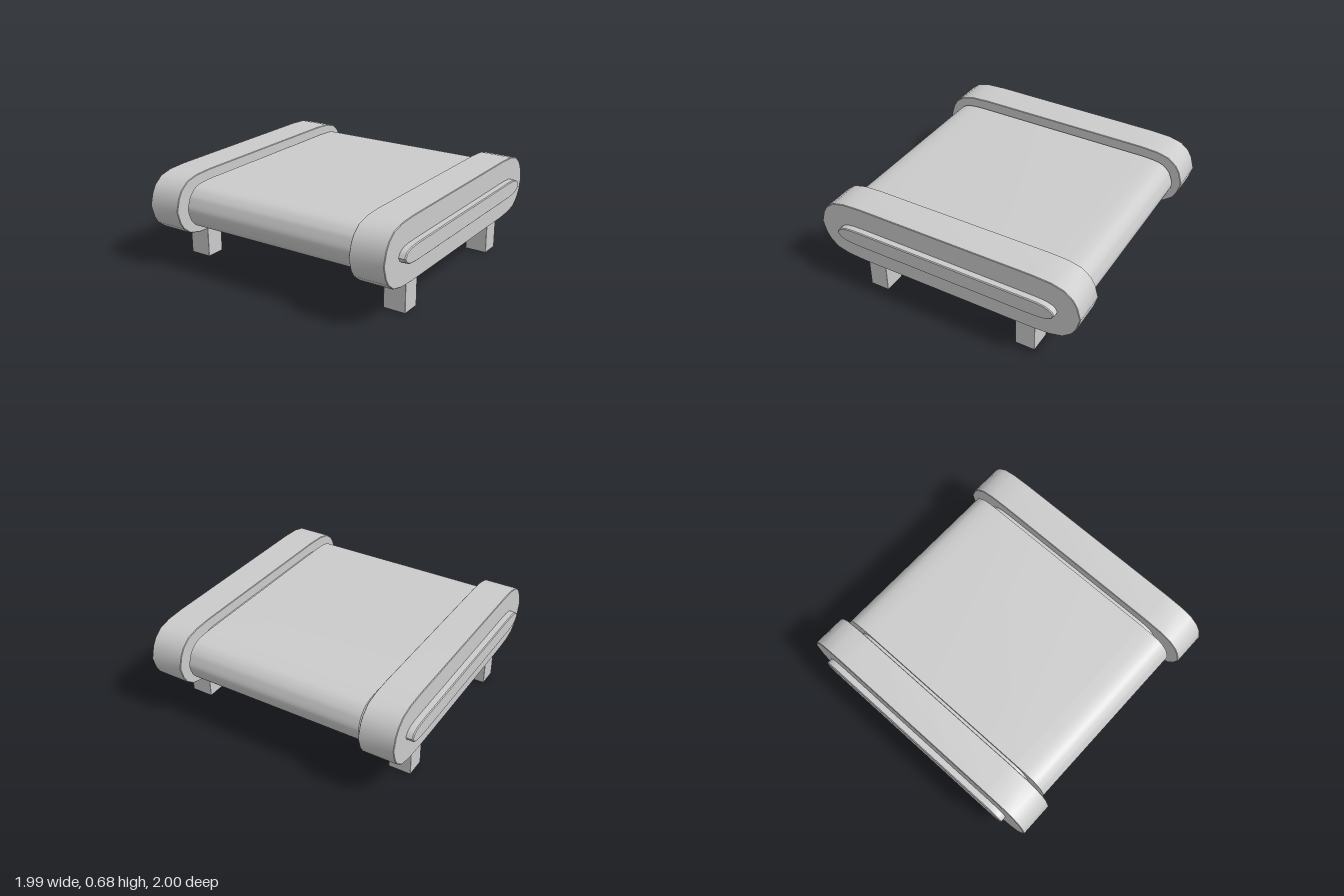
import * as THREE from 'three';
import { toCreasedNormals } from 'three/addons/utils/BufferGeometryUtils.js';
import { RoundedBoxGeometry } from 'three/addons/geometries/RoundedBoxGeometry.js';

const MID_Y = 0.46;
const grey = new THREE.MeshStandardMaterial({ color: 0xcccccc });

// Quarter of the rounded end: [inset from the tip, fraction of half height]
const END = [[0, 0], [0.025, 0.41], [0.055, 0.64], [0.115, 0.86], [0.205, 0.965], [0.34, 1]];

// Long outline with softly rounded ends
function capsule(halfLength, halfHeight, roundLength, smooth) {
  const k = roundLength / 0.34;
  let quarter = END.map(([inset, f]) => new THREE.Vector2(halfLength - inset * k, f * halfHeight));
  if (smooth) {
    // Mirror the first point below the axis so the tip stays vertical
    const below = new THREE.Vector2(quarter[1].x, -quarter[1].y);
    quarter = new THREE.SplineCurve([below, ...quarter]).getPoints(36).slice(6);
  }
  const upper = [...quarter, ...quarter.slice().reverse().map((p) => new THREE.Vector2(-p.x, p.y))];
  const lower = upper.slice(1, -1).reverse().map((p) => new THREE.Vector2(p.x, -p.y));
  return new THREE.Shape([...upper, ...lower]);
}

// Extrude an outline lying in the z/y plane from x0 to x1
function slab(name, x0, x1, zMid, halfLength, halfHeight, roundLength, bevel = 0, smooth = false) {
  let geo = new THREE.ExtrudeGeometry(
    capsule(halfLength - bevel, halfHeight - bevel, roundLength, smooth),
    {
      depth: x1 - x0 - 2 * bevel, bevelEnabled: bevel > 0,
      bevelThickness: bevel, bevelSize: bevel, bevelSegments: 1,
    });
  geo.rotateY(Math.PI / 2);
  geo.translate(x0 + bevel, MID_Y, zMid);
  geo = toCreasedNormals(geo, 0.7);
  const mesh = new THREE.Mesh(geo, grey);
  mesh.name = name;
  return mesh;
}

export function createModel() {
  const model = new THREE.Group();
  model.name = 'rollerBench';

  // Wide central belt
  model.add(slab('belt', -0.67, 0.665, -0.007, 0.933, 0.165, 0.26, 0, true));

  for (const side of [-1, 1]) {
    const label = side > 0 ? 'left' : 'right';
    const cx = -0.0025; // parts mirror about a line just off centre
    const span = (a, b) => (side > 0 ? [cx + a, cx + b] : [cx - b, cx - a]);

    // Thick end frame, outer slim bar and the inner neck joining the belt
    model.add(slab(label + 'Frame', ...span(0.698, 0.948), 0, 1, 0.22, 0.34, 0.004));
    model.add(slab(label + 'SideBar', ...span(0.9, 0.996), -0.005, 0.837, 0.06, 0.19, 0.006));
    model.add(slab(label + 'Neck', ...span(0.6, 0.75), -0.007, 0.798, 0.143, 0.22, 0, true));

    // Square legs
    for (const z of [0.587, -0.593]) {
      const leg = new THREE.Mesh(new RoundedBoxGeometry(0.164, 0.27, 0.145, 1, 0.005), grey);
      leg.position.set(cx + side * 0.825, 0.135, z);
      leg.name = label + (z > 0 ? 'FrontLeg' : 'BackLeg');
      model.add(leg);
    }
  }
  return model;
}
